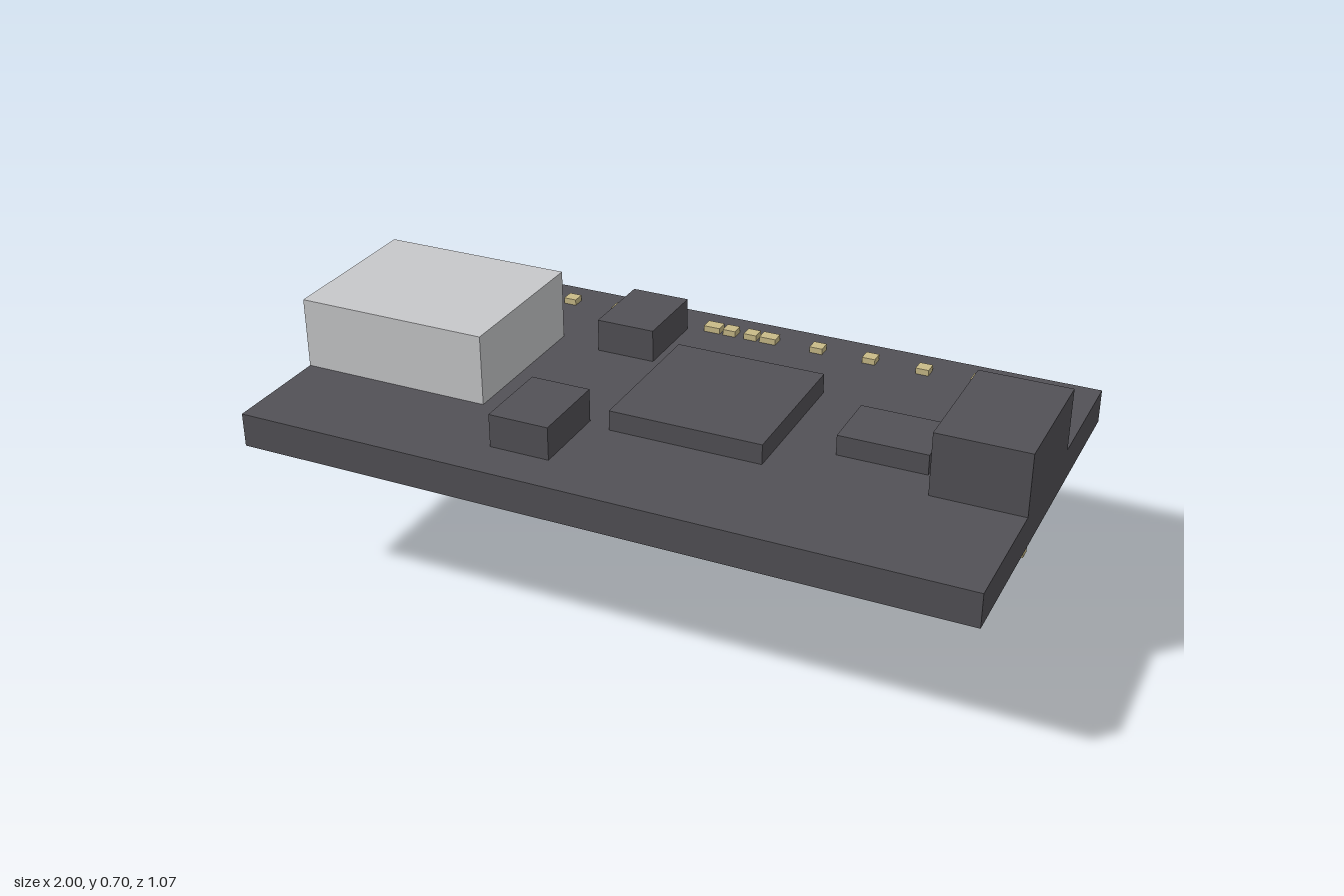
import * as THREE from 'three';

export function createModel() {
  const model = new THREE.Group();
  const paint = (name, color) => {
    const m = new THREE.MeshStandardMaterial({ color });
    m.name = name;
    return m;
  };
  const dark = paint('dark grey', 0x525156);
  const silver = paint('light grey', 0xc7c8ca);
  const gold = paint('pale gold', 0xc9bb88);

  // Box given by its lower and upper limits on each axis
  const block = (name, material, [x0, x1], [y0, y1], [z0, z1], parent = model) => {
    const mesh = new THREE.Mesh(new THREE.BoxGeometry(x1 - x0, y1 - y0, z1 - z0), material);
    mesh.position.set((x0 + x1) / 2, (y0 + y1) / 2, (z0 + z1) / 2);
    mesh.name = name;
    parent.add(mesh);
  };

  const top = 0.5;

  // Circuit board and the pin header strip below its back edge
  block('board', dark, [-1, 1], [0.406, top], [-0.537, 0.537]);
  block('headerStrip', dark, [-0.925, 0.922], [0.255, 0.406], [-0.517, -0.363]);

  // Parts on top of the board
  block('socket', silver, [-1, -0.456], [top, 0.697], [-0.227, 0.227]);
  block('mainChip', dark, [-0.093, 0.331], [top, 0.556], [-0.212, 0.212]);
  block('smallChip', dark, [0.48, 0.722], [top, 0.556], [-0.088, 0.088]);
  block('endConnector', dark, [0.753, 1], [top, 0.673], [-0.181, 0.181]);
  block('leftButton', dark, [-0.327, -0.16], [top, 0.592], [0.188, 0.416]);
  block('rightButton', dark, [-0.327, -0.16], [top, 0.592], [-0.416, -0.188]);

  // Pins: two evenly spaced runs, with a tight cluster in the middle
  const pins = new THREE.Group();
  pins.name = 'pins';
  model.add(pins);
  const pin = (x, width = 0.037) =>
    block('pin', gold, [x - width / 2, x + width / 2], [0, 0.517], [-0.459, -0.422], pins);
  for (let i = 0; i < 5; i++) {
    pin(-0.847 + i * 0.154);
    pin(0.843 - i * 0.154);
  }
  pin(-0.088, 0.048);
  pin(-0.035);
  pin(0.029);
  pin(0.082, 0.048);

  return model;
}
